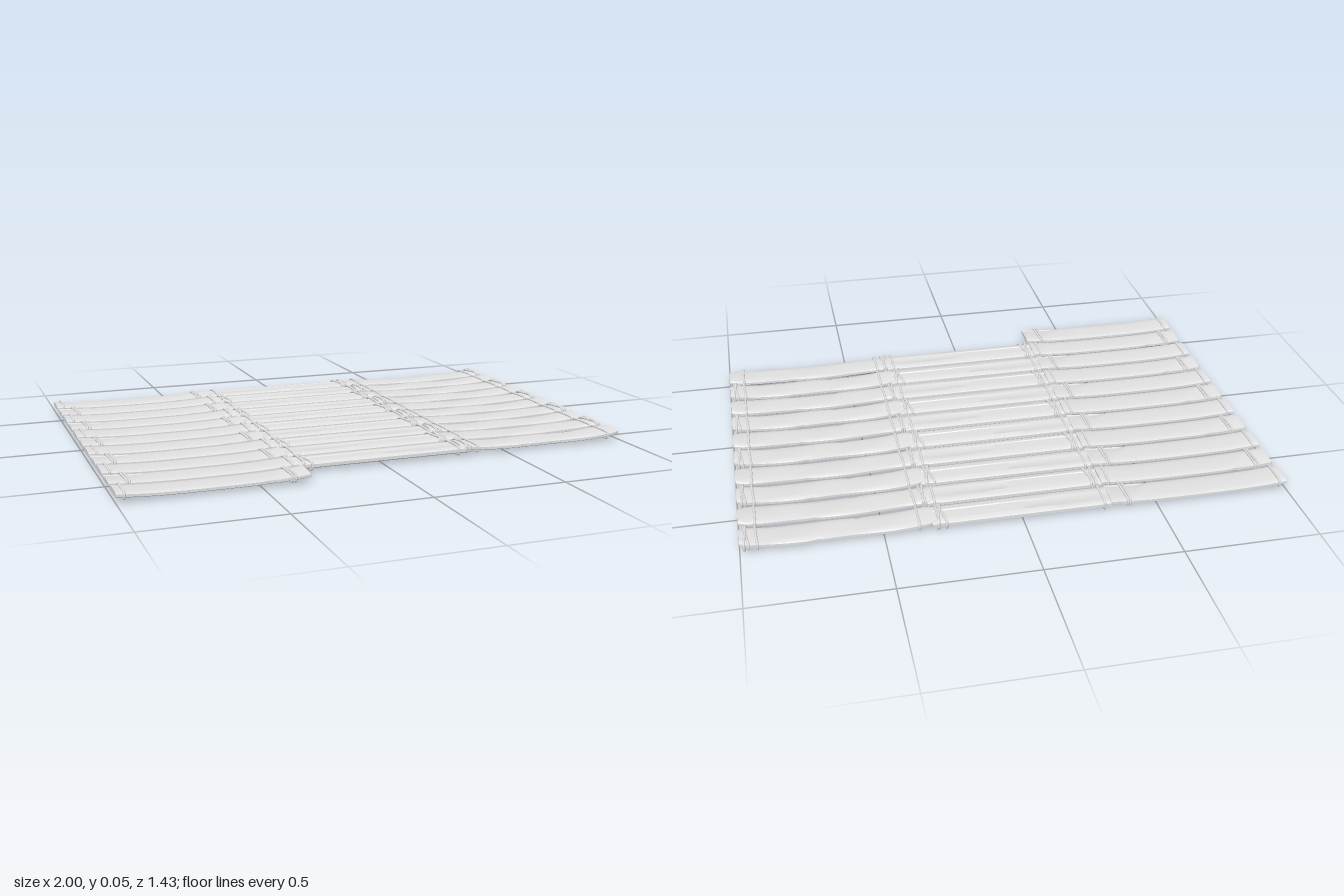
import * as THREE from 'three';
import { toCreasedNormals } from 'three/addons/utils/BufferGeometryUtils.js';

const MID_Y = 0.0225;

// Plank cross-section as [z, y] fractions, from the +z edge over the top to -z and back underneath
const PROFILE = [
  [1, 0], [0.98, 0.4], [0.88, 0.7], [0.65, 0.87], [0.4, 0.96], [0.34, 0.97], [0, 1], [-0.48, 0.95], [-0.54, 0.93],
  [-0.88, 0.7], [-0.98, 0.4], [-1, 0], [-0.98, -0.5], [-0.88, -0.82], [-0.4, -1], [0.4, -1], [0.88, -0.82], [0.98, -0.5],
];

// Each plank kind: centre, half length, half thickness, end lift, edge shape, surface warp and lashings
const KINDS = [
  {
    name: 'leftPlank', x: -0.6625, half: 0.3375, thick: 0.01, lift: 0.008,
    edge: (u, side) => 0.0555 - (side > 0 ? 0.006 * bump(u, 0.56, 0.05) : 0),
    warp: (u, z) => -0.006 * THREE.MathUtils.smoothstep(u + z * 3, 0.66, 0.76) * Math.max(0, z + 0.04) / 0.09,
    ropes: [[-0.31, 0, 0], [0.267, 0.001, 0], [0.278, 0.003, 0]],
  },
  {
    name: 'middlePlank', x: 0, half: 0.329, thick: 0.0125, lift: 0,
    edge: (u, side) => 0.0565 - 0.004 * bump(u, -0.9 * side, 0.08),
    // a long split runs down the plank, deepening toward one end
    warp: (u, z) => (z > -0.029 && z < 0.021 ? -0.001 - 0.003 * (u + 1) / 2 : 0),
    ropes: [[-0.3, 0, 0], [0.287, 0.01, 0], [0.297, -0.012, 1], [0.305, 0, 0]],
  },
  {
    name: 'rightPlank', x: 0.6575, half: 0.3425, thick: 0.01, lift: 0.009,
    // worn, wavy sides
    edge: (u, side) => 0.0535 + 0.003 * Math.sin(u * 6 + side) - 0.005 * bump(u, -0.22 * side, 0.06)
      - 0.01 * Math.max(0, Math.abs(u) - 0.92) / 0.08,
    warp: (u, z) => 0.0015 * Math.sin(u * 7 + z * 30),
    ropes: [[-0.283, 0, 0], [0.283, 0.003, 0], [0.318, 0.008, 0], [0.321, -0.005, 1]],
  },
];

function bump(u, at, width) {
  return Math.max(0, 1 - Math.abs(u - at) / width);
}

// Ends of a plank curl up while its middle sags
function sag(kind, u) {
  return kind.lift * (1.4 * Math.pow(Math.abs(u), 3) - 0.55);
}

function plankGeometry(kind) {
  const rings = 48, n = PROFILE.length, pos = [], index = [];
  for (let i = 0; i <= rings; i++) {
    const u = (i / rings) * 2 - 1;
    for (const [pz, py] of PROFILE) {
      const z = pz * kind.edge(u, Math.sign(pz));
      const top = py > 0.6 ? kind.warp(u, z) : 0;
      pos.push(u * kind.half, py * kind.thick + sag(kind, u) + top, z);
    }
  }
  for (let i = 0; i < rings; i++) {
    for (let j = 0; j < n; j++) {
      const k = (j + 1) % n, a = i * n, b = a + n;
      index.push(a + j, b + j, b + k, a + j, b + k, a + k);
    }
  }
  // End caps
  const c0 = pos.length / 3, last = rings * n;
  pos.push(-kind.half, sag(kind, 1), 0, kind.half, sag(kind, 1), 0);
  for (let j = 0; j < n; j++) {
    const k = (j + 1) % n;
    index.push(c0, j, k, c0 + 1, last + k, last + j);
  }
  const g = new THREE.BufferGeometry();
  g.setAttribute('position', new THREE.Float32BufferAttribute(pos, 3));
  g.setIndex(index);
  return toCreasedNormals(g, 0.6);
}

// A cord wrapped round the plank; slant shifts it along the plank from one edge to the other
function ropeGeometry(kind, [x, slant, over]) {
  const w = 0.0585, h = kind.thick + 0.0035 + over * 0.002;
  const y0 = sag(kind, x / kind.half), pts = [];
  for (let i = 0; i < 24; i++) {
    const t = (i / 24) * Math.PI * 2, c = Math.cos(t), s = Math.sin(t);
    const z = Math.sign(c) * Math.pow(Math.abs(c), 0.4) * w;
    const y = Math.sign(s) * Math.pow(Math.abs(s), 0.4) * h;
    pts.push(new THREE.Vector3(x + slant * (z / w), y + y0, z));
  }
  return new THREE.TubeGeometry(new THREE.CatmullRomCurve3(pts, true), 40, 0.0045, 8, true);
}

export function createModel() {
  const grey = new THREE.MeshStandardMaterial({ color: 0xe0e0e0 });
  grey.name = 'pale grey';

  const model = new THREE.Group();
  model.name = 'plankDeck';

  KINDS.forEach((kind, column) => {
    const plank = plankGeometry(kind);
    const ropes = kind.ropes.map((r) => ropeGeometry(kind, r));
    // The left column has one extra plank
    const rows = column === 0 ? 11 : 10;
    for (let row = 0; row < rows; row++) {
      const piece = new THREE.Group();
      piece.name = kind.name;
      const board = new THREE.Mesh(plank, grey);
      board.name = 'board';
      piece.add(board);
      for (const g of ropes) {
        const rope = new THREE.Mesh(g, grey);
        rope.name = 'lashing';
        piece.add(rope);
      }
      piece.position.set(kind.x, MID_Y, -0.6525 + row * 0.1305);
      // Every other plank is turned end for end
      if (row % 2) piece.rotation.y = Math.PI;
      model.add(piece);
    }
  });
  return model;
}
